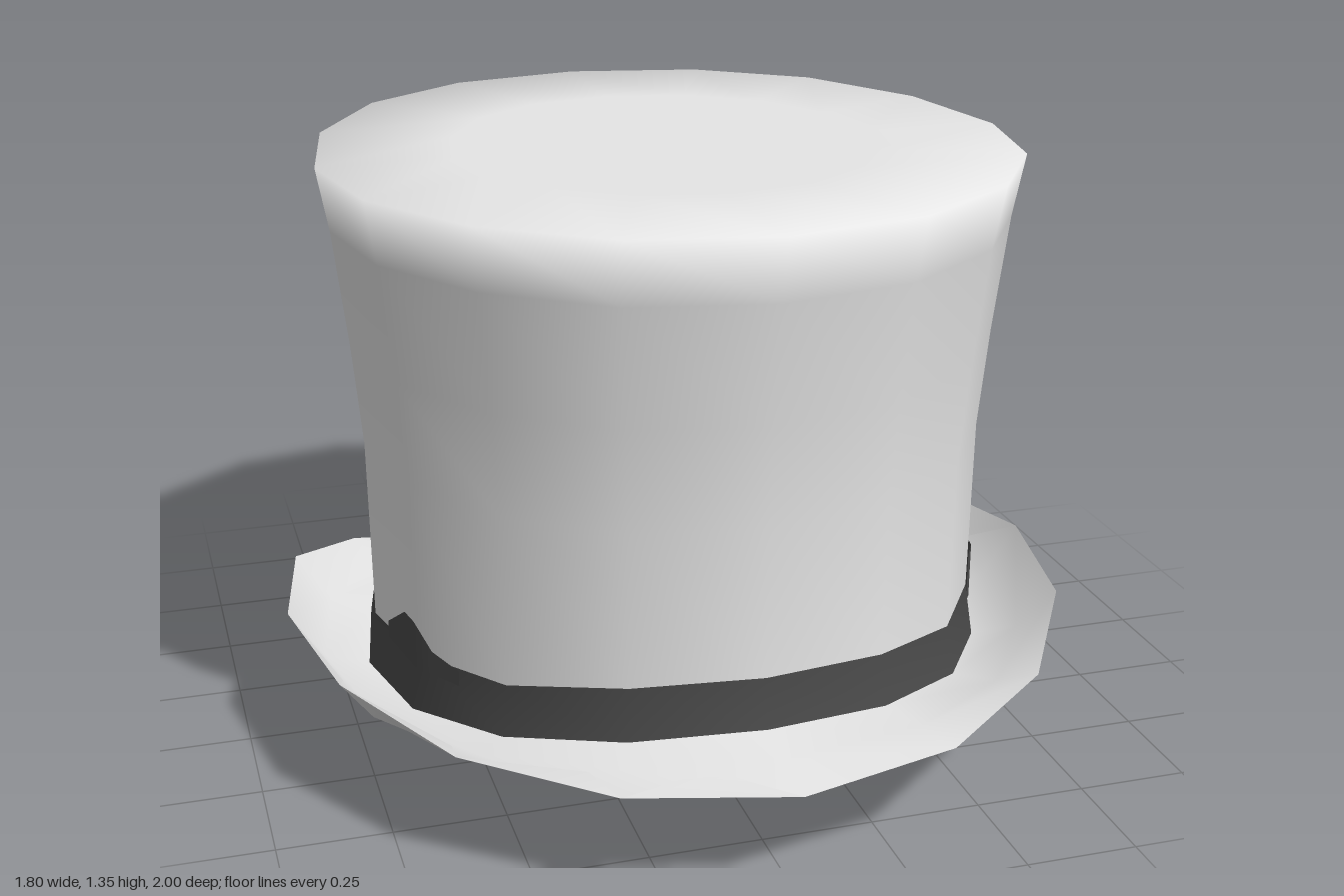
import * as THREE from 'three';

const SIDES = 16;

// Heights from the front (0) round to the back (8), the same on both sides
const BASE = [0.255, 0.238, 0.2, 0.17, 0.155, 0.14, 0.1, 0.06, 0.035];
const RIM = [0.245, 0.258, 0.28, 0.32, 0.33, 0.29, 0.17, 0.055, 0];
const BAND_TOP = [0.388, 0.375, 0.335, 0.318, 0.3, 0.28, 0.24, 0.2, 0.185];

const half = (k) => Math.min(k, SIDES - k);
const base = (lift) => (k) => BASE[half(k)] + lift;
const rim = (k) => RIM[half(k)];
const bandTop = (k) => BAND_TOP[half(k)];
const curl = (lift) => (k) => base(0)(k) * 0.75 + rim(k) * 0.25 + lift;

// Egg-shaped ring with half width rx and half depth rz; y is a height or a rule
function ring(rx, rz, y) {
  return Array.from({ length: SIDES }, (_, k) => {
    const a = (k / SIDES) * Math.PI * 2;
    const s = Math.sin(a);
    return [
      rx * Math.sign(s) * Math.abs(s) ** 0.96,
      typeof y === 'number' ? y : y(k),
      rz * Math.cos(a) + 0.055 * rx * s ** 8,
    ];
  });
}

// Smooth skin over a list of rings; parts = [name, first strip, end strip, material]
function skin(group, rings, parts) {
  const shared = new THREE.BufferGeometry();
  shared.setAttribute('position', new THREE.Float32BufferAttribute(rings.flat(2), 3));
  const strips = (from, to) => {
    const index = [];
    for (let i = from; i < to; i++) {
      for (let k = 0; k < SIDES; k++) {
        const n = (k + 1) % SIDES;
        const a = i * SIDES + k, d = i * SIDES + n;
        const b = a + SIDES, c = d + SIDES;
        index.push(a, b, c, a, c, d);
      }
    }
    return index;
  };
  shared.setIndex(strips(0, rings.length - 1));
  shared.computeVertexNormals();
  for (const [name, from, to, material] of parts) {
    const geometry = shared.clone();
    geometry.setIndex(strips(from, to));
    const mesh = new THREE.Mesh(geometry, material);
    mesh.name = name;
    group.add(mesh);
  }
}

// Raised patch of the band on one side; outline = [position round the ring, top height]
function bandPatch(group, name, side, rx, rz, outline, material) {
  const loop = ring(rx, rz, 0);
  const points = [], index = [];
  outline.forEach(([s, top], i) => {
    const k = Math.floor(s), t = s - k;
    const x = side * THREE.MathUtils.lerp(loop[k][0], loop[k + 1][0], t);
    const z = THREE.MathUtils.lerp(loop[k][2], loop[k + 1][2], t);
    points.push(x, 0.29, z, x, top, z);
    if (i) {
      const a = i * 2 - 2;
      if (side > 0) index.push(a, a + 2, a + 3, a, a + 3, a + 1);
      else index.push(a, a + 3, a + 2, a, a + 1, a + 3);
    }
  });
  const geometry = new THREE.BufferGeometry();
  geometry.setAttribute('position', new THREE.Float32BufferAttribute(points, 3));
  geometry.setIndex(index);
  geometry.computeVertexNormals();
  const mesh = new THREE.Mesh(geometry, material);
  mesh.name = name;
  group.add(mesh);
}

export function createModel() {
  const hat = new THREE.Group();
  hat.name = 'topHat';

  const felt = new THREE.MeshStandardMaterial({ color: 0xe6e6e6, side: THREE.DoubleSide });
  felt.name = 'light grey felt';
  const ribbon = new THREE.MeshStandardMaterial({ color: 0x4b4b4b, side: THREE.DoubleSide });
  ribbon.name = 'dark grey ribbon';

  // Flat top, flared wall and ribbon band
  skin(hat, [
    ring(0, 0, 1.35),
    ring(0.47, 0.5, 1.35),
    ring(0.78, 0.838, 1.35),
    ring(0.755, 0.81, 1.21),
    ring(0.725, 0.78, 0.95),
    ring(0.705, 0.757, 0.72),
    ring(0.7, 0.757, bandTop),
    ring(0.72, 0.775, base(0.022)),
  ], [['crown', 0, 6, felt], ['band', 6, 7, ribbon]]);

  // Brim, curled up at the sides and dipping at the back, with a hem below
  skin(hat, [
    ring(0.72, 0.775, base(0.022)),
    ring(0.82, 0.88, curl(0.012)),
    ring(0.9, 1, rim),
  ], [['brimTop', 0, 2, felt]]);
  skin(hat, [
    ring(0.9, 1, rim),
    ring(0.82, 0.88, curl(0)),
    ring(0.745, 0.8, base(0.012)),
    ring(0.72, 0.775, base(0)),
  ], [['brimUnderside', 0, 3, felt]]);

  // Hollow inside
  skin(hat, [
    ring(0.72, 0.775, base(0)),
    ring(0.66, 0.715, bandTop),
    ring(0.665, 0.72, 0.72),
    ring(0.7, 0.75, 1.2),
    ring(0.7, 0.75, 1.31),
    ring(0, 0, 1.31),
  ], [['innerBand', 0, 1, ribbon], ['lining', 1, 5, felt]]);

  // Uneven upper edge of the band at each side
  const leftEdge = [[2.86, 0.41], [3, 0.42], [3.45, 0.42], [3.58, 0.4], [3.6, 0.33]];
  const rightEdge = [[2.5, 0.325], [2.8, 0.345], [3, 0.4], [3.2, 0.4], [3.6, 0.33]];
  for (const [side, word, edge] of [[1, 'left', leftEdge], [-1, 'right', rightEdge]]) {
    bandPatch(hat, word + 'BandPatch', side, 0.708, 0.765, edge, ribbon);
    bandPatch(hat, word + 'InnerBandPatch', side, 0.655, 0.71, edge, ribbon);
  }

  return hat;
}
